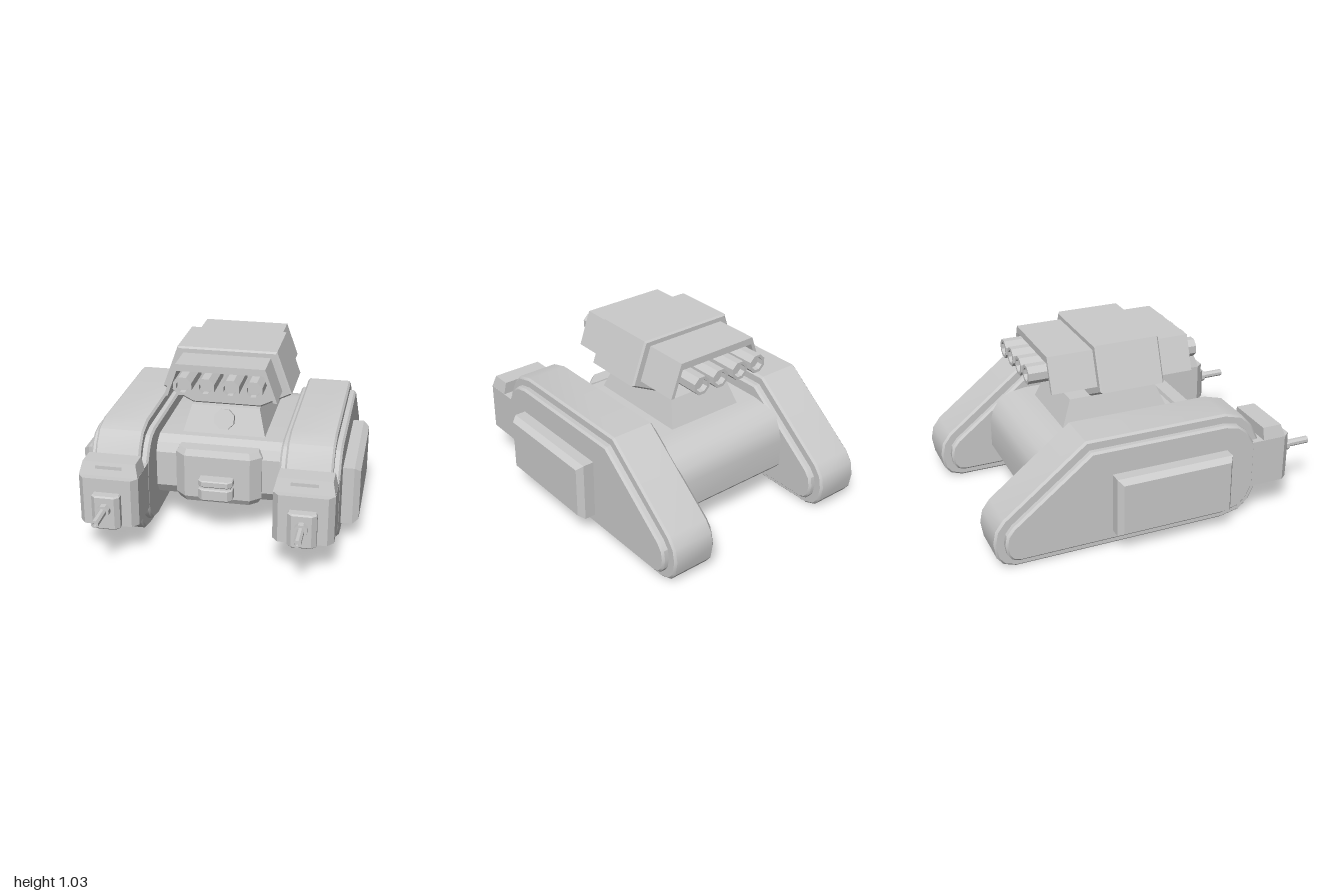
import * as THREE from 'three';
import { toCreasedNormals } from 'three/addons/utils/BufferGeometryUtils.js';

const material = new THREE.MeshStandardMaterial({ color: 0xcccccc });

function add(parent, name, geometry, x = 0, y = 0, z = 0) {
  const mesh = new THREE.Mesh(toCreasedNormals(geometry, 0.45), material);
  mesh.name = name;
  mesh.position.set(x, y, z);
  parent.add(mesh);
  return mesh;
}

// Extrusion centred on its depth axis; the bevel stays inside the outline.
function slab(points, depth, bevel = 0, thickness = bevel) {
  const shape = new THREE.Shape(points.map(p => new THREE.Vector2(p[0], p[1])));
  const geometry = new THREE.ExtrudeGeometry(shape, {
    depth: depth - 2 * thickness, bevelEnabled: bevel > 0, bevelSize: bevel,
    bevelThickness: thickness, bevelOffset: -bevel, bevelSegments: 1,
  });
  return geometry.translate(0, 0, thickness - depth / 2);
}
const sideSlab = (...args) => slab(...args).rotateY(-Math.PI / 2); // outline in (z, y)
const planSlab = (...args) => slab(...args).rotateX(Math.PI / 2);  // outline in (x, z)
const mirrored = half => [...half, ...half.slice().reverse().map(p => [-p[0], p[1]])];

// Box whose top has its own width, depth and z shift.
function taperedBox(w, h, d, topW, topD, shift = 0) {
  const geometry = new THREE.BoxGeometry(w, h, d);
  const pos = geometry.attributes.position;
  for (let i = 0; i < pos.count; i++) {
    if (pos.getY(i) > 0) {
      pos.setX(i, pos.getX(i) * topW / w);
      pos.setZ(i, pos.getZ(i) * topD / d + shift);
    }
  }
  return geometry.toNonIndexed();
}

const rod = (r, length, sides = 8) =>
  new THREE.CylinderGeometry(r, r, length, sides).rotateY(Math.PI / sides).rotateX(Math.PI / 2);

// Hollow tube along z, open at both ends.
function tube(outer, inner, length) {
  const h = length / 2;
  const profile = [[inner, -h], [outer, -h], [outer, h], [inner, h], [inner, -h]];
  return new THREE.LatheGeometry(profile.map(p => new THREE.Vector2(...p)), 8)
    .rotateY(Math.PI / 8).rotateX(Math.PI / 2);
}

function trackUnit() {
  const unit = new THREE.Group();
  unit.name = 'trackUnit';
  const track = [[0.59, 0.2], [0.59, 0.46], [0.53, 0.58], [0.47, 0.645], [0.36, 0.675],
    [-0.47, 0.675], [-0.94, 0.305], [-0.985, 0.245], [-1, 0.17], [-0.985, 0.08],
    [-0.95, 0.035], [-0.88, 0.01], [0.36, 0.01], [0.48, 0.035], [0.54, 0.09]];
  const panel = [[0.54, 0.21], [0.54, 0.47], [0.48, 0.565], [0.43, 0.605], [0.35, 0.622],
    [-0.45, 0.622], [-0.9, 0.27], [-0.935, 0.225], [-0.945, 0.17], [-0.935, 0.11],
    [-0.91, 0.075], [-0.87, 0.062], [0.35, 0.062], [0.45, 0.085], [0.5, 0.13]];
  add(unit, 'trackBelt', sideSlab(track, 0.265, 0.012));
  add(unit, 'sidePanels', sideSlab(panel, 0.34, 0.012));
  const box = [[-0.335, 0.12], [0.36, 0.12], [0.36, 0.47], [-0.335, 0.47]];
  add(unit, 'sideBox', sideSlab(box, 0.14, 0.025, 0.035), 0.2);

  // Front housing with a slotted cover on top
  const plan = mirrored([[0.168, 0.5], [0.168, 0.735], [0.135, 0.775]]);
  add(unit, 'frontHousing', planSlab(plan, 0.28), 0, 0.34);
  add(unit, 'coverBlock', taperedBox(0.335, 0.075, 0.14, 0.3, 0.115, -0.013), 0, 0.515, 0.668);
  add(unit, 'coverSlot', new THREE.BoxGeometry(0.15, 0.02, 0.03).toNonIndexed(), 0, 0.525, 0.71);

  // Gun
  const plate = mirrored([[0.08, 0.76], [0.08, 0.805], [0.055, 0.83]]);
  add(unit, 'gunMount', planSlab(plate, 0.2, 0.008), 0, 0.3);
  add(unit, 'gunCollar', rod(0.037, 0.04), 0, 0.325, 0.845);
  add(unit, 'gunBarrel', tube(0.022, 0.012, 0.16), 0, 0.325, 0.92);
  add(unit, 'gunBore', rod(0.014, 0.12), 0, 0.325, 0.92);
  return unit;
}

function launcher() {
  const group = new THREE.Group();
  group.name = 'launcher';
  const casing = mirrored([[0.29, 1.04], [0.38, 0.79], [0.2, 0.7]]);
  add(group, 'launcherCasing', slab(casing, 0.385, 0.01), 0, 0, -0.07);

  // Hoods at both ends, open underneath, each covering four tubes
  const hood = mirrored([[0.255, 1.005], [0.325, 0.81], [0.303, 0.81], [0.248, 0.965]]);
  for (const [name, from, to] of [['frontHood', 0.1, 0.32], ['rearHood', -0.53, -0.24]]) {
    add(group, name, slab(hood, to - from), 0, 0, (from + to) / 2);
  }
  for (const x of [-0.2, -0.07, 0.07, 0.2]) {
    add(group, 'launchTube', tube(0.056, 0.038, 1.02), x, 0.9, -0.125);
    add(group, 'tubeCore', rod(0.042, 0.95), x, 0.9, -0.125);
  }
  return group;
}

export function createModel() {
  const model = new THREE.Group();
  model.name = 'trackedVehicle';

  // Left and right tracks; the right one is built with its side box turned outward
  for (const side of [1, -1]) {
    const unit = trackUnit();
    unit.position.x = side * 0.54;
    unit.getObjectByName('sideBox').position.x *= side;
    model.add(unit);
  }

  // Hull between the tracks
  const hull = [[0.35, 0.26], [0.35, 0.47], [0.32, 0.52], [0.26, 0.55], [-0.46, 0.55],
    [-0.55, 0.535], [-0.62, 0.495], [-0.67, 0.435], [-0.69, 0.36], [-0.69, 0.2],
    [-0.67, 0.175], [0.24, 0.175], [0.31, 0.2]];
  add(model, 'hull', sideSlab(hull, 0.78));
  const nose = mirrored([[0.25, 0.2], [0.25, 0.36], [0.19, 0.415]]);
  add(model, 'hullNose', planSlab(nose, 0.325, 0.02, 0.035), 0, 0.3625);
  const lamp = mirrored([[0.1, 0.4], [0.1, 0.465], [0.075, 0.49]]);
  add(model, 'lowerBumper', planSlab(lamp, 0.07, 0.006), 0, 0.287);
  add(model, 'upperBumper', planSlab(lamp, 0.04, 0.006), 0, 0.355);
  add(model, 'bumperCore', new THREE.BoxGeometry(0.18, 0.12, 0.07).toNonIndexed(), 0, 0.312, 0.43);

  // Launcher pedestal with a round hatch on its front
  add(model, 'pedestal', taperedBox(0.49, 0.16, 0.66, 0.4, 0.53), 0, 0.62, -0.115);
  add(model, 'pedestalHatch', rod(0.063, 0.05), 0, 0.635, 0.185).rotation.x = -0.35;

  model.add(launcher());
  return model;
}
